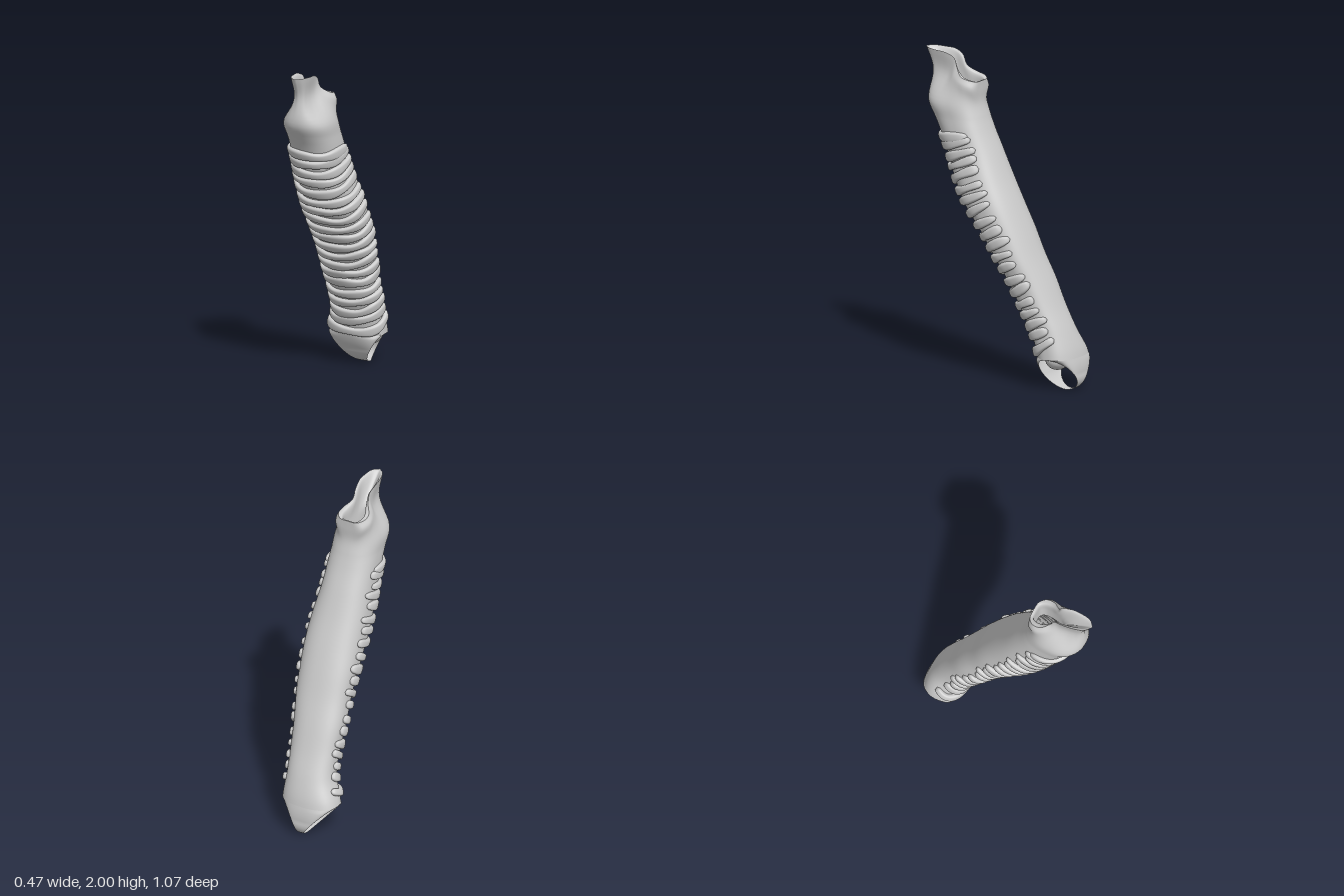
import * as THREE from 'three';
import { mergeVertices } from 'three/addons/utils/BufferGeometryUtils.js';

const PI = Math.PI;
const material = new THREE.MeshStandardMaterial({ color: 0xcccccc, side: THREE.DoubleSide });

// Horizontal sections every 0.15 from y = 0.2 to 1.7: [xMin, xMax, zBack, zFront]
const Y0 = 0.2, Y1 = 1.7;
const sections = [
  [-0.235, 0.13, -0.515, -0.265], [-0.175, 0.125, -0.465, -0.22], [-0.16, 0.14, -0.395, -0.15],
  [-0.16, 0.16, -0.33, -0.075], [-0.15, 0.19, -0.26, 0.01], [-0.15, 0.205, -0.195, 0.105],
  [-0.145, 0.215, -0.125, 0.215], [-0.14, 0.205, -0.05, 0.29], [-0.13, 0.185, 0.02, 0.35],
  [-0.125, 0.18, 0.09, 0.415], [-0.12, 0.17, 0.14, 0.495],
];
const columns = [0, 1, 2, 3].map(c =>
  new THREE.SplineCurve(sections.map((s, i) => new THREE.Vector2(i, s[c]))));
// Slightly squared ellipse, flatter at the back
const across = a => Math.sign(Math.sin(a)) * Math.abs(Math.sin(a)) ** 0.87;
const depth = a => Math.sign(Math.cos(a)) * Math.abs(Math.cos(a)) ** (Math.cos(a) > 0 ? 0.76 : 0.87);

// Point on the tube wall; angle 0 is the back, PI the front
function wall(a, y) {
  const t = THREE.MathUtils.clamp((y - Y0) / (Y1 - Y0), 0, 1);
  const [x0, x1, zb, zf] = columns.map(c => c.getPoint(t).y);
  return new THREE.Vector3((x0 + x1) / 2 + (x1 - x0) / 2 * across(a), y,
    (zb + zf) / 2 - (zf - zb) / 2 * depth(a));
}

// Surface from a grid of points fn(i, j), both 0..1
function surface(nu, nv, fn) {
  const pos = [], idx = [];
  for (let j = 0; j <= nv; j++)
    for (let i = 0; i <= nu; i++) pos.push(...fn(i / nu, j / nv).toArray());
  for (let j = 0; j < nv; j++)
    for (let i = 0; i < nu; i++) {
      const a = j * (nu + 1) + i, b = a + 1, c = a + nu + 1, d = c + 1;
      idx.push(a, c, b, b, c, d);
    }
  let g = new THREE.BufferGeometry();
  g.setAttribute('position', new THREE.Float32BufferAttribute(pos, 3));
  g.setIndex(idx);
  g = mergeVertices(g, 1e-5);
  g.computeVertexNormals();
  return g;
}

// Half loops of the mouth from back to front: halfWidth, y, z, all around the same centre line
const halfLoop = pts => new THREE.CatmullRomCurve3(pts.map(p => new THREE.Vector3(...p)));
const shoulder = halfLoop([
  [0, 1.78, 0.14], [0.085, 1.79, 0.15], [0.114, 1.81, 0.2], [0.108, 1.825, 0.25], [0.084, 1.84, 0.3],
  [0.058, 1.85, 0.34], [0.046, 1.86, 0.38], [0.04, 1.87, 0.43], [0.032, 1.875, 0.465], [0, 1.88, 0.483]]);
const rim = halfLoop([
  [0, 1.835, 0.14], [0.055, 1.835, 0.145], [0.09, 1.845, 0.18], [0.09, 1.86, 0.235], [0.055, 1.9, 0.285],
  [0.05, 1.96, 0.31], [0.058, 1.99, 0.37], [0.055, 1.995, 0.43], [0.038, 2.0, 0.5], [0, 2.0, 0.535]]);
const innerRim = halfLoop([
  [0, 1.83, 0.155], [0.045, 1.83, 0.16], [0.064, 1.84, 0.19], [0.064, 1.855, 0.235], [0.042, 1.89, 0.285],
  [0.038, 1.945, 0.315], [0.044, 1.975, 0.37], [0.04, 1.985, 0.43], [0.026, 1.99, 0.49], [0, 1.99, 0.518]]);
const throat = halfLoop([
  [0, 1.75, 0.16], [0.045, 1.75, 0.165], [0.062, 1.75, 0.19], [0.062, 1.76, 0.23], [0.052, 1.78, 0.27],
  [0.038, 1.8, 0.31], [0.028, 1.82, 0.33], [0.018, 1.83, 0.345], [0.008, 1.84, 0.355], [0, 1.84, 0.36]]);
function loopPoint(loop, a) {
  const p = loop.getPoint(Math.min(1, a <= PI ? a / PI : 2 - a / PI));
  p.x = 0.022 + (a <= PI ? p.x : -p.x) + Math.max(0, p.z - 0.35) * 0.08;
  return p;
}

// Lower end: front and back walls close at the bottom, sides stay open
function forkPoint(a, v) {
  const k = Math.sin(v * PI / 2), lerp = THREE.MathUtils.lerp;
  const zc = lerp(-0.39, -0.45, k);
  const r = 0.1 * Math.sqrt(Math.max(0, 1 - (2 * k - 1) ** 2));
  const d = Math.max(r + 0.012 * Math.sqrt(1 - k), 0.125 * Math.sqrt(Math.max(0, 1 - k * k)));
  const back = Math.cos(a) > 0;
  const x0 = lerp(-0.235, -0.06, k) + (back ? 0.2 * r : 0);
  const x1 = lerp(0.13, 0, k) - (back ? 0.5 * r : 0);
  return new THREE.Vector3((x0 + x1) / 2 + (x1 - x0) / 2 * across(a), Y0 * (1 - k),
    zc + (back ? -1 : 1) * (r + (d - r) * Math.abs(depth(a))));
}

// Small repeatable pseudo-random values, -1..1
let seed = 7;
const jitter = () => {
  seed = (seed * 16807) % 2147483647;
  return seed / 2147483647 * 2 - 1;
};

// C-shaped raised band on the front of the tube, open at the back
function ringGeometry(y0, tilt, height, thick, extL, extR, wave, phase) {
  const front = wall(PI, y0).z;
  const onWall = a => {
    let y = y0, p;
    for (let i = 0; i < 8; i++) {
      p = wall(a, y);
      y = y0 + tilt * (front - p.z) + wave * Math.sin((a - PI) * 2.3 + phase);
    }
    return wall(a, y);
  };
  return surface(12, 56, (i, j) => {
    const s = 1 - j * 2, e = 0.004;
    const a = PI + s * (s > 0 ? extR : extL) * PI;
    const p = onWall(a);
    const along = onWall(a + e).sub(onWall(a - e)).normalize();
    const up = wall(a, p.y + 0.01).sub(wall(a, p.y - 0.01)).normalize();
    const normal = new THREE.Vector3().crossVectors(up, along).normalize();
    if (normal.x * Math.sin(a) - normal.z * Math.cos(a) < 0) normal.negate();
    const side = new THREE.Vector3().crossVectors(along, normal).normalize();
    const end = Math.sqrt(Math.max(0, 1 - Math.abs(s) ** 14));
    const swell = 1 + 0.16 * Math.sin(a * 4 + phase * 3);
    const q = (1 - i) * PI, sq = v => Math.sign(v) * Math.abs(v) ** 0.6;
    return p.addScaledVector(side, height * swell * end * sq(Math.cos(q)))
      .addScaledVector(normal, thick * end * sq(Math.sin(q)) - 0.002);
  });
}

export function createModel() {
  const group = new THREE.Group();
  const add = (name, geometry, parent = group) => {
    const m = new THREE.Mesh(geometry, material);
    m.name = name;
    parent.add(m);
    return m;
  };

  // Tube and outside of the spouted mouth in one skin
  add('tube', surface(72, 76, (i, j) => {
    const a = i * 2 * PI, split = 0.75;
    if (j <= split) return wall(a, Y0 + (1.6 - Y0) * j / split);
    const path = new THREE.CatmullRomCurve3([wall(a, 1.6), wall(a, 1.7),
      loopPoint(shoulder, a), loopPoint(rim, a)]);
    return path.getPoint((j - split) / (1 - split));
  }));

  // Thick lip, groove of the spout and the passage below it
  add('throat', surface(72, 16, (i, j) => {
    const a = i * 2 * PI;
    const passage = loopPoint(throat, a);
    passage.y -= 0.1;
    return new THREE.CatmullRomCurve3([loopPoint(rim, a), loopPoint(innerRim, a),
      loopPoint(throat, a), passage]).getPoint(j);
  }));

  // Forked lower end, front and back halves
  for (const [name, start] of [['lowerFrontWall', PI / 2], ['lowerBackWall', -PI / 2]])
    add(name, surface(32, 24, (i, j) => forkPoint(start + 1e-4 + i * (PI - 2e-4), 1 - j)));

  // Rounded ridge hanging inside the fork
  const ridge = add('innerRidge', new THREE.SphereGeometry(0.072, 24, 16));
  ridge.position.set(0.01, 0.192, -0.4);
  ridge.scale.x = 1.3;

  // Stack of irregular bands
  const rings = new THREE.Group();
  rings.name = 'rings';
  group.add(rings);
  const count = 20;
  for (let n = 0; n < count; n++) {
    const t = n / (count - 1);
    const y0 = 1.495 - 1.265 * t + 0.006 * jitter();
    const tilt = n === 0 ? 0.08 : 0.26 + 0.28 * Math.min(1, t * 2.5) + 0.05 * jitter();
    add('ring' + (n + 1), ringGeometry(y0, tilt, 0.027 + 0.003 * jitter(), 0.026,
      0.67 + 0.05 * jitter(), 0.57 + 0.05 * jitter(), 0.011 * jitter(), jitter() * PI), rings);
  }
  return group;
}
